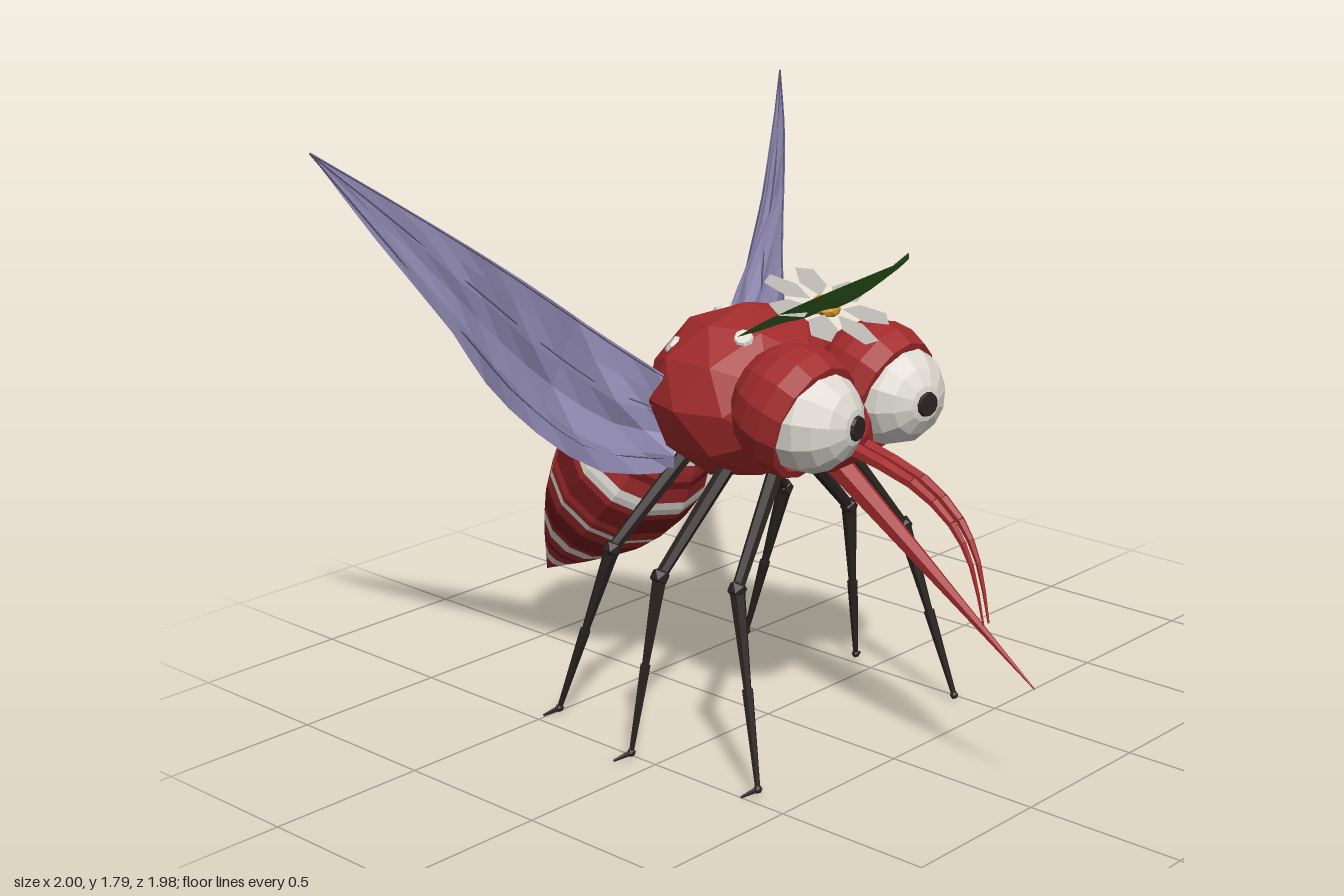
import * as THREE from 'three';

const V = (x, y, z) => new THREE.Vector3(x, y, z);
const UP = V(0, 1, 0);
const paint = (name, color, side = THREE.FrontSide) =>
  Object.assign(new THREE.MeshStandardMaterial({ color, flatShading: true, side }), { name });

const M = {
  red: paint('red', 0xa22b2c),
  darkRed: paint('darkRed', 0x741a1c),
  white: paint('white', 0xdedad2),
  black: paint('black', 0x2a2422),
  wing: paint('wingLilac', 0xa9a1d0, THREE.DoubleSide),
  vein: paint('veinPurple', 0x5a5474),
  leaf: paint('leafGreen', 0x9ccc72),
  leafDark: paint('leafDarkGreen', 0x3c7029),
  petal: paint('petalGrey', 0xb8b4b0, THREE.DoubleSide),
  yellow: paint('yellow', 0xd79a2b),
};

export function createModel() {
  const model = new THREE.Group();
  model.name = 'mosquito';

  const add = (name, geo, mat, parent = model) => {
    const mesh = new THREE.Mesh(geo, mat);
    mesh.name = name;
    parent.add(mesh);
    return mesh;
  };
  // tapered round rod between two points
  const rod = (name, a, b, ra, rb, mat, parent, sides = 6) => {
    const d = b.clone().sub(a);
    const m = add(name, new THREE.CylinderGeometry(rb, ra, d.length(), sides), mat, parent);
    m.position.copy(a).add(b).multiplyScalar(0.5);
    m.quaternion.setFromUnitVectors(UP, d.normalize());
    return m;
  };
  // surface through a grid of points f(u, v)
  const sheet = (f, nu, nv, flip = false) => {
    const pos = [], idx = [];
    for (let j = 0; j <= nv; j++)
      for (let i = 0; i <= nu; i++) pos.push(...f(i / nu, j / nv, i, j).toArray());
    for (let j = 0; j < nv; j++)
      for (let i = 0; i < nu; i++) {
        const a = j * (nu + 1) + i, b = a + 1, c = a + nu + 1, d = c + 1;
        idx.push(...(flip ? [a, c, b, b, c, d] : [a, b, c, b, d, c]));
      }
    const g = new THREE.BufferGeometry();
    g.setAttribute('position', new THREE.Float32BufferAttribute(pos, 3));
    g.setIndex(idx);
    g.computeVertexNormals();
    return g;
  };
  // rod chain that tapers along a curve
  const taperedTube = (name, pts, r0, r1, mat, steps = 8) => {
    const p = new THREE.CatmullRomCurve3(pts).getPoints(steps);
    const g = new THREE.Group();
    g.name = name;
    model.add(g);
    for (let i = 0; i < steps; i++) {
      const r = k => r0 + (r1 - r0) * k / steps;
      rod(name + 'Segment', p[i], p[i + 1], r(i), r(i + 1), mat, g);
    }
  };

  // thorax
  const thoraxGeo = new THREE.IcosahedronGeometry(1, 1);
  thoraxGeo.scale(0.325, 0.268, 0.285).translate(0, 1.04, -0.08);
  const thorax = add('thorax', thoraxGeo, M.red);

  // pale spots resting on the thorax
  const ray = new THREE.Raycaster();
  for (const [x, z] of [[0, -0.18], [-0.2, -0.2], [0.2, -0.2], [-0.14, 0.03], [0.14, 0.03]]) {
    ray.set(V(x, 3, z), V(0, -1, 0));
    const hit = ray.intersectObject(thorax)[0];
    if (!hit) continue;
    const spot = add('thoraxSpot', new THREE.CylinderGeometry(0.026, 0.034, 0.016, 8), M.white);
    spot.position.copy(hit.point);
    spot.quaternion.setFromUnitVectors(UP, hit.face.normal);
  }

  // head core between the eyes
  const head = add('head', new THREE.IcosahedronGeometry(1, 1), M.red);
  head.scale.set(0.14, 0.15, 0.17);
  head.position.set(0, 0.99, 0.21);

  // abdomen: a twelve-sided spindle with cross bands and dorsal stripes
  const start = V(0, 0.952, -0.34), axis = V(0, -0.739, -0.673), dorsal = V(0, 0.673, -0.739);
  const profile = [[0, 0.06], [0.08, 0.135], [0.16, 0.185], [0.28, 0.228], [0.42, 0.232],
    [0.54, 0.2], [0.66, 0.148], [0.78, 0.09], [0.95, 0]];
  const radius = s => {
    const k = Math.max(1, profile.findIndex(p => p[0] >= s - 1e-6));
    const [[s0, r0], [s1, r1]] = [profile[k - 1], profile[k]];
    return r0 + (r1 - r0) * (s - s0) / (s1 - s0);
  };
  const COLS = 96, ROWS = 38, LEN = 0.95, SIDES = 12;
  const corner = k => V(Math.sin(k / SIDES * 2 * Math.PI), Math.cos(k / SIDES * 2 * Math.PI), 0);
  const abdomenPoint = (u, v) => {
    const k = Math.floor(u * SIDES + 1e-6);
    const c = corner(k).lerp(corner(k + 1), u * SIDES - k), r = radius(v * LEN);
    return start.clone().addScaledVector(axis, v * LEN)
      .addScaledVector(dorsal, c.y * r).add(V(c.x * r * 1.06, 0, 0));
  };
  const abdomenGeo = sheet(abdomenPoint, COLS, ROWS);
  const cells = [[], [], []], src = abdomenGeo.index.array;
  for (let j = 0; j < ROWS; j++)
    for (let i = 0; i < COLS; i++) {
      const s = (j + 0.5) / ROWS * LEN, side = Math.min(i, COLS - 1 - i);
      const near = [0.1, 0.27, 0.46, 0.68, 0.85].reduce((m, b) => Math.min(m, Math.abs(s - b)), 1);
      const stripe = side === 1 || side === 2 || side === 7;
      const kind = near < 0.02 || stripe ? 2 : near > 0.065 ? 1 : 0;
      const at = (j * COLS + i) * 6;
      cells[kind].push(...src.slice(at, at + 6));
    }
  abdomenGeo.setIndex(cells.flat());
  let offset = 0;
  cells.forEach((c, k) => { abdomenGeo.addGroup(offset, c.length, k); offset += c.length; });
  add('abdomen', abdomenGeo, [M.red, M.darkRed, M.white]);

  // proboscis and the two curved feelers above it
  rod('proboscis', V(0, 0.89, 0.26), V(0, 0.37, 1), 0.042, 0.002, M.red, model, 6);
  for (const s of [-1, 1])
    taperedTube('feeler', [V(s * 0.025, 0.95, 0.34), V(s * 0.024, 0.89, 0.57), V(s * 0.02, 0.8, 0.71),
      V(s * 0.016, 0.69, 0.78), V(s * 0.012, 0.52, 0.825)], 0.024, 0.003, M.red);

  // cupped eyelid: outer shell, rim, then inner wall
  const lidProfile = [];
  for (let i = 0; i <= 6; i++) {
    const a = i / 6 * 1.98;
    lidProfile.push(new THREE.Vector2(0.2 * Math.sin(a), -0.2 * Math.cos(a)));
  }
  lidProfile.push(new THREE.Vector2(0.16, 0.082), new THREE.Vector2(0.14, 0));

  for (const s of [-1, 1]) {
    const tag = s > 0 ? 'left' : 'right';

    // eye
    const lid = add(tag + 'Eyelid', new THREE.LatheGeometry(lidProfile, 14), M.red);
    lid.position.set(s * 0.18, 1.08, 0.265);
    lid.rotation.x = Math.PI / 2 + 0.33;
    lid.scale.set(0.9, 0.95, 1);
    const look = V(-s * 0.17, -0.02, 1).normalize();
    const eye = add(tag + 'Eyeball', new THREE.SphereGeometry(0.157, 12, 9), M.white);
    eye.position.set(s * 0.185, 1.068, 0.325);
    eye.quaternion.setFromUnitVectors(UP, look);
    const pupil = add(tag + 'Pupil', new THREE.CylinderGeometry(0.034, 0.038, 0.009, 10), M.black);
    pupil.position.copy(eye.position).addScaledVector(look, 0.157);
    pupil.quaternion.copy(eye.quaternion);

    // wing: faceted membrane between a leading and a trailing edge
    const edge = pts => new THREE.CatmullRomCurve3(pts.map(([x, y, z]) => V(x * s, y, z)));
    const lead = edge([[0.25, 1.1, -0.13], [0.4, 1.25, -0.29], [0.57, 1.42, -0.44],
      [0.77, 1.6, -0.61], [1, 1.8, -0.835]]);
    const trail = edge([[0.2, 0.8, -0.2], [0.32, 0.79, -0.38], [0.42, 0.9, -0.56], [0.53, 1.06, -0.655],
      [0.65, 1.24, -0.66], [0.84, 1.53, -0.75], [1, 1.8, -0.835]]);
    const normal = V(s * 0.75, -0.2, 0.6).normalize();
    const wingPoint = (u, v, bump = 0) => lead.getPoint(v).lerp(trail.getPoint(v), u)
      .addScaledVector(normal, (bump - 0.5) * 0.03 * Math.sin(Math.PI * u) * (1 - v));
    add(tag + 'Wing', sheet((u, v, i, j) => wingPoint(u, v, (i * 2 + j * 3 + i * j) % 3 / 2), 5, 12), M.wing);
    for (const u of [0.02, 0.35, 0.85]) {
      const path = [0, 0.2, 0.4, 0.6, 0.8, 1].map(v => wingPoint(u, v, 0.5));
      add(tag + 'WingVein', new THREE.TubeGeometry(new THREE.CatmullRomCurve3(path), 16, 0.003, 4), M.vein);
    }

    // legs: hip, knee, ankle, toe
    [['front', [0.12, 0.92, 0.16], [0.38, 0.58, 0.22], [0.46, 0.03, 0.37], [0.505, 0.012, 0.345]],
      ['middle', [0.13, 0.87, -0.02], [0.43, 0.57, -0.04], [0.52, 0.03, -0.08], [0.57, 0.012, -0.105]],
      ['back', [0.13, 0.87, -0.19], [0.39, 0.59, -0.275], [0.43, 0.03, -0.48], [0.475, 0.012, -0.505]],
    ].forEach(([name, ...pts]) => {
      const leg = new THREE.Group();
      leg.name = `${tag}${name[0].toUpperCase()}${name.slice(1)}Leg`;
      model.add(leg);
      const [hip, knee, ankle, toe] = pts.map(([x, y, z]) => V(x * s, y, z));
      const shin = knee.clone().lerp(ankle, 0.5);
      rod('thigh', hip, knee, 0.026, 0.018, M.black, leg);
      add('knee', new THREE.IcosahedronGeometry(0.03, 0), M.black, leg).position.copy(knee);
      rod('upperShin', knee, shin, 0.024, 0.012, M.black, leg);
      rod('lowerShin', shin, ankle, 0.017, 0.008, M.black, leg);
      add('ankle', new THREE.IcosahedronGeometry(0.014, 0), M.black, leg).position.copy(ankle);
      rod('toe', ankle, toe, 0.01, 0.004, M.black, leg);
    });
  }

  // cupped leaf hat: pale upper face, dark underside and midrib
  const leafPoint = lift => (u, v) => {
    const a = u * 2 - 1, rear = 0.09 - 0.11 * Math.min(1, Math.abs(a) * 1.5);
    const z = rear + (0.525 - rear) * v, w = 0.195 * Math.sin(Math.PI * (0.25 + 0.75 * v));
    return V(a * w, 1.245 + 0.56 * z - 0.04 * (1 - Math.abs(a)) * Math.sin(Math.PI * v) + lift, z);
  };
  add('leafTop', sheet(leafPoint(0.008), 6, 10, true), M.leaf);
  add('leafUnderside', sheet(leafPoint(-0.008), 6, 10), M.leafDark);
  for (const u of [0, 1])
    add('leafRim', sheet((a, v) => leafPoint(a * 0.016 - 0.008)(u, v), 1, 10, u === 1), M.leafDark);
  const rib = [0, 0.25, 0.5, 0.75, 1].map(v => leafPoint(0.008)(0.5, v));
  add('leafMidrib', new THREE.TubeGeometry(new THREE.CatmullRomCurve3(rib), 12, 0.003, 4), M.leafDark);

  // flower: seven flat petals around a yellow centre, tilted through the leaf
  const flower = new THREE.Group();
  flower.name = 'flower';
  flower.position.set(0, 1.347, 0.225);
  flower.rotation.x = 0.43;
  model.add(flower);
  const petalShape = new THREE.Shape([[0, 0.05], [0.045, 0.11], [0.03, 0.19], [-0.03, 0.19], [-0.045, 0.11]]
    .map(([x, y]) => new THREE.Vector2(x, y)));
  for (let i = 0; i < 7; i++) {
    const geo = new THREE.ShapeGeometry(petalShape).rotateX(-Math.PI / 2);
    add('petal', geo, M.petal, flower).rotation.y = (i + 0.5) / 7 * 2 * Math.PI;
  }
  add('flowerCentre', new THREE.IcosahedronGeometry(0.045, 1), M.yellow, flower).scale.y = 0.6;

  return model;
}
